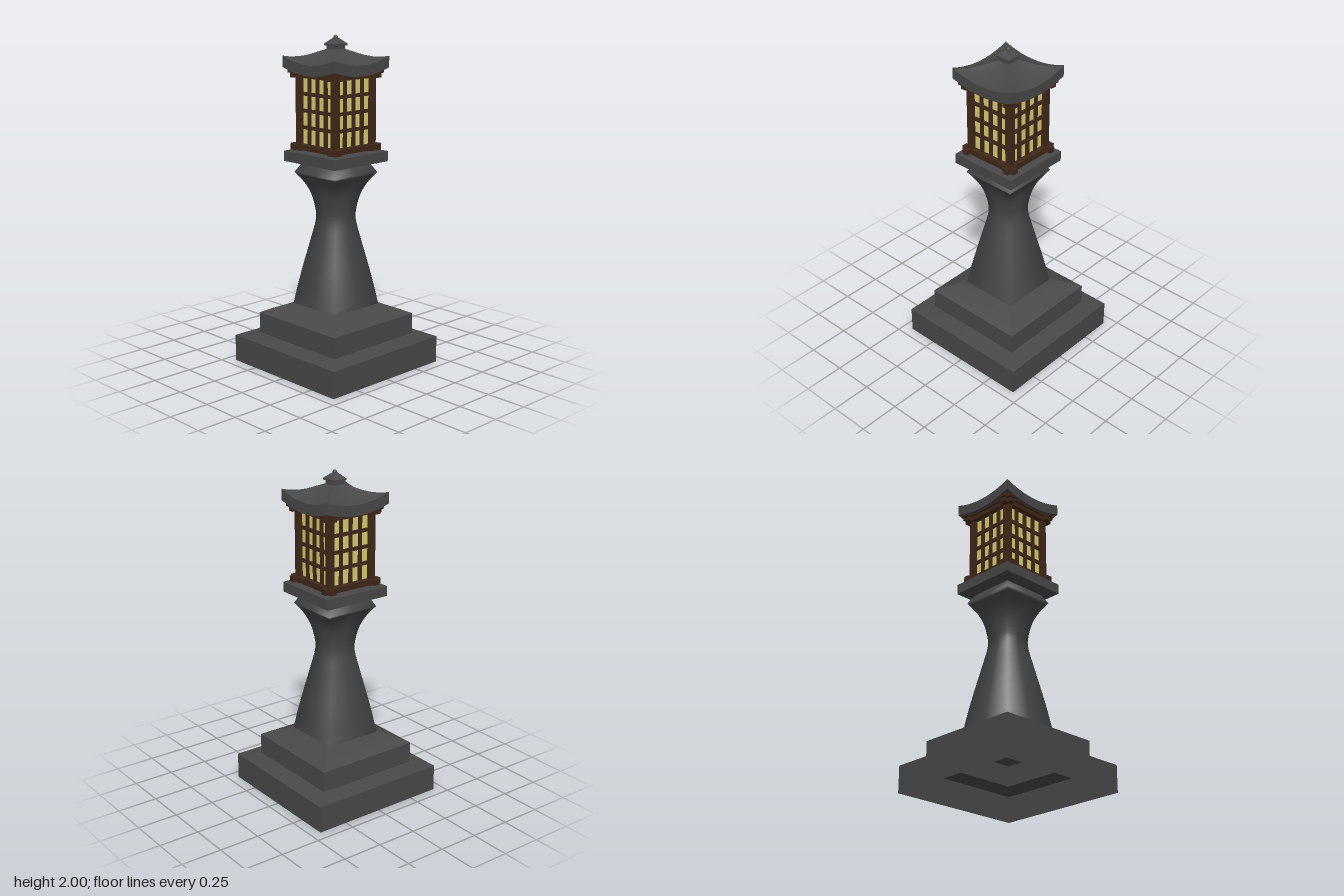
import * as THREE from 'three';
import { toCreasedNormals } from 'three/addons/utils/BufferGeometryUtils.js';

// Square loft: each ring is [half width, y at mid-side, y at corner (optional)].
function squareLoft(rings, n = 1, crease = 0.6) {
  const pos = [], idx = [], count = n * 4;
  for (const [half, yMid, yCorner = yMid] of rings) {
    for (let side = 0; side < 4; side++) {
      for (let i = 0; i < n; i++) {
        const t = -1 + (2 * i) / n;
        let x = half, z = -t * half;
        for (let r = 0; r < side; r++) [x, z] = [z, -x];
        pos.push(x, yMid + (yCorner - yMid) * t * t, z);
      }
    }
  }
  for (let r = 0; r < rings.length - 1; r++) {
    for (let k = 0; k < count; k++) {
      const a = r * count + k, b = r * count + (k + 1) % count;
      idx.push(a, b, b + count, a, b + count, a + count);
    }
  }
  const g = new THREE.BufferGeometry();
  g.setAttribute('position', new THREE.Float32BufferAttribute(pos, 3));
  g.setIndex(idx);
  if (crease === null) {
    g.computeVertexNormals();
    return g;
  }
  return toCreasedNormals(g, crease);
}

export function createModel() {
  const model = new THREE.Group();
  const stone = new THREE.MeshStandardMaterial({ color: 0x484848, side: THREE.DoubleSide });
  stone.name = 'dark stone';
  const wood = new THREE.MeshStandardMaterial({ color: 0x412719 });
  wood.name = 'dark wood';
  const paper = new THREE.MeshStandardMaterial({ color: 0xd8cd74 });
  paper.name = 'lit paper';

  const add = (parent, name, geometry, material, x = 0, y = 0, z = 0) => {
    const mesh = new THREE.Mesh(geometry, material);
    mesh.name = name;
    mesh.position.set(x, y, z);
    parent.add(mesh);
    return mesh;
  };
  const box = (parent, name, material, w, h, d, x, y, z) =>
    add(parent, name, new THREE.BoxGeometry(w, h, d), material, x, y, z);

  // Hollow stepped base, open underneath
  add(model, 'steppedBase', squareLoft([
    [0.437, 0], [0.437, 0.163], [0.33, 0.183], [0.33, 0.31],
    [0.275, 0.338], [0.22, 0.36], [0.183, 0.373],
  ], 2, 0.5), stone);

  // Waisted square shaft with softly shaded corners
  const curve = new THREE.SplineCurve([
    [0.183, 0.37], [0.165, 0.48], [0.143, 0.6], [0.105, 0.79], [0.085, 0.9],
    [0.087, 0.97], [0.105, 1.06], [0.135, 1.13], [0.174, 1.19],
  ].map(([r, y]) => new THREE.Vector2(r, y)));
  const shaftRings = curve.getPoints(24).map((p) => [p.x, p.y]);
  add(model, 'shaft', squareLoft([...shaftRings, [0.14, 1.248]], 2, null), stone);

  // Platform under the lantern
  add(model, 'platform', squareLoft([
    [0.001, 1.245], [0.14, 1.245], [0.218, 1.255], [0.218, 1.317], [0.001, 1.322],
  ]), stone);

  // Lantern: paper core, corner posts and four lattice sides
  const lantern = new THREE.Group();
  lantern.name = 'lantern';
  model.add(lantern);
  box(lantern, 'paperCore', paper, 0.28, 0.45, 0.28, 0, 1.56, 0);
  for (const x of [-0.148, 0.148]) {
    for (const z of [-0.148, 0.148]) {
      box(lantern, 'cornerPost', wood, 0.038, 0.49, 0.038, x, 1.565, z);
    }
  }
  for (let s = 0; s < 4; s++) {
    const side = new THREE.Group();
    side.name = 'latticeSide';
    side.rotation.y = (s * Math.PI) / 2;
    lantern.add(side);
    for (let i = -1; i <= 1; i++) {
      box(side, 'uprightBar', wood, 0.02, 0.43, 0.016, i * 0.069, 1.56, 0.146);
      box(side, 'crossBar', wood, 0.27, 0.02, 0.014, 0, 1.56 + i * 0.099, 0.146);
    }
    box(side, 'lowerRail', wood, 0.402, 0.034, 0.036, 0, 1.345, 0.158);
    box(side, 'upperRail', wood, 0.402, 0.028, 0.036, 0, 1.769, 0.158);
    box(side, 'eaveBeam', wood, 0.424, 0.026, 0.036, 0, 1.796, 0.168);
  }

  // Roof with raised corners and a concave slope
  add(model, 'roof', squareLoft([
    [0.001, 1.80], [0.15, 1.79, 1.805], [0.22, 1.775, 1.812],
    [0.22, 1.838, 1.879], [0.19, 1.845, 1.874], [0.15, 1.858, 1.876],
    [0.11, 1.876, 1.887], [0.07, 1.898, 1.905], [0.035, 1.918, 1.92], [0.001, 1.925],
  ], 10, 0.7), stone);

  // Finial: neck, small cap and ball
  add(model, 'finial', squareLoft([
    [0.038, 1.9], [0.038, 1.937], [0.048, 1.94], [0.048, 1.95],
    [0.028, 1.968], [0.01, 1.984], [0.001, 1.985],
  ], 1, 0.4), stone);
  add(model, 'finialBall', new THREE.SphereGeometry(0.013, 16, 10), stone, 0, 1.987, 0);

  return model;
}
